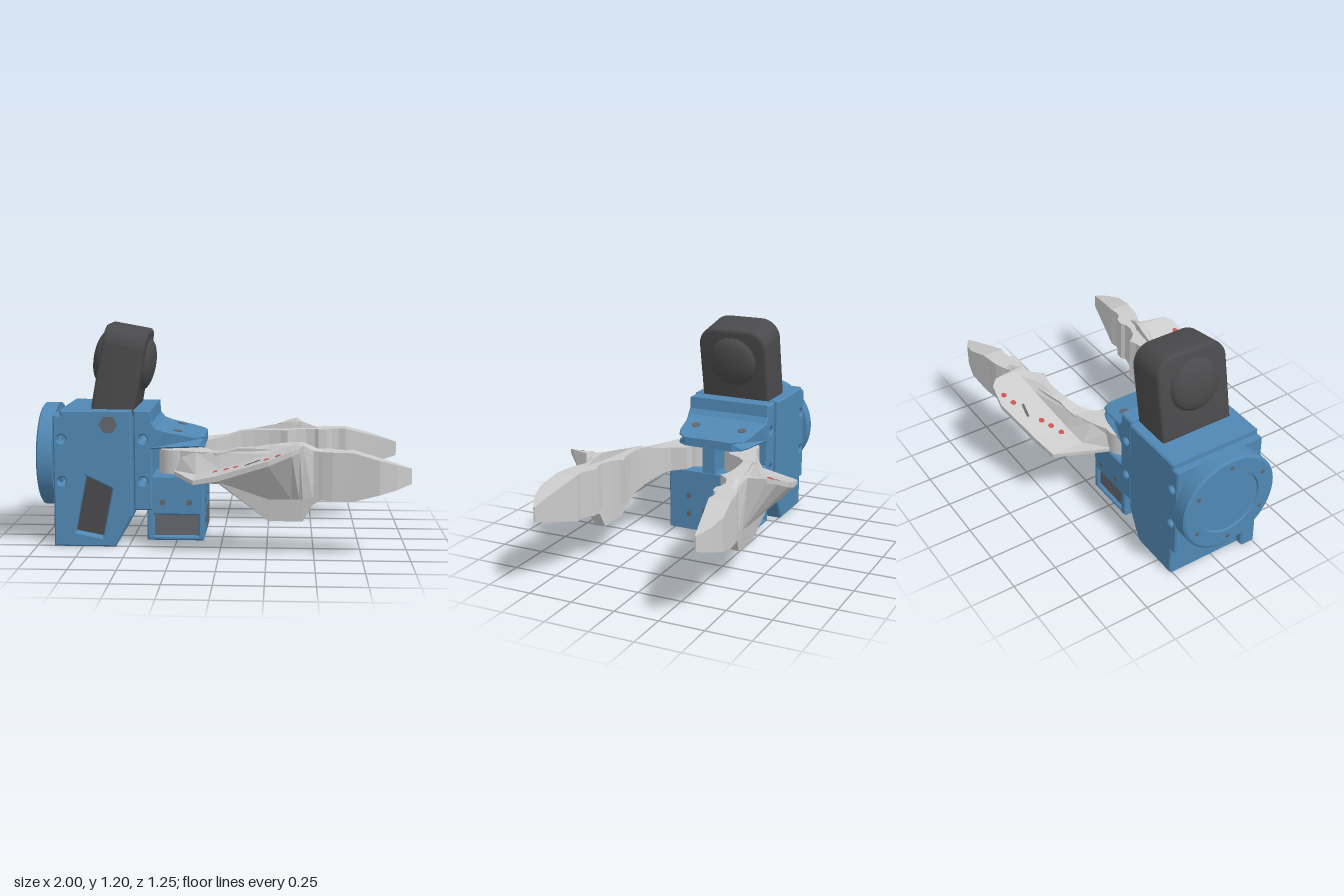
import * as THREE from 'three';
import { toCreasedNormals } from 'three/addons/utils/BufferGeometryUtils.js';

const mat = (color, opts = {}) => new THREE.MeshStandardMaterial({ color, ...opts });
const blue = mat(0x5088b4), dark = mat(0x4a4a4c), panel = mat(0x63666b), red = mat(0xd05050);
const smoothGrey = mat(0xcccccc), grey = mat(0xcccccc, { flatShading: true });

function add(parent, name, geo, material, x = 0, y = 0, z = 0) {
  const m = new THREE.Mesh(geo, material);
  m.name = name;
  m.position.set(x, y, z);
  parent.add(m);
  return m;
}
const box = (w, h, d) => new THREE.BoxGeometry(w, h, d);
const poly = pts => pts.map(p => new THREE.Vector2(...p));
const circle = (x, y, r) => new THREE.Path().absarc(x, y, r, 0, Math.PI * 2, true);

// Side profile extruded across z, centred, with small bevelled edges
function slab(pts, width, holes = [], bevel = 0.008) {
  const s = new THREE.Shape(poly(pts));
  s.holes.push(...holes);
  const g = new THREE.ExtrudeGeometry(s, {
    depth: width - 2 * bevel, bevelEnabled: true, bevelSize: bevel, bevelOffset: -bevel,
    bevelThickness: bevel, bevelSegments: 1, curveSegments: 12,
  });
  g.translate(0, 0, -width / 2 + bevel);
  return g;
}

// Faceted skin over loops of corners; side = -1 mirrors it across z
function loft(loops, side) {
  const out = [];
  const tri = (a, b, c) => {
    for (const p of side > 0 ? [a, b, c] : [a, c, b]) out.push(p[0], p[1], p[2] * side);
  };
  const n = loops[0].length, last = loops[loops.length - 1];
  for (let i = 0; i + 1 < loops.length; i++) {
    for (let j = 0; j < n; j++) {
      const k = (j + 1) % n, A = loops[i], B = loops[i + 1];
      tri(A[j], A[k], B[k]);
      tri(A[j], B[k], B[j]);
    }
  }
  for (let j = 1; j + 1 < n; j++) {
    tri(loops[0][0], loops[0][j + 1], loops[0][j]);
    tri(last[0], last[j], last[j + 1]);
  }
  const g = new THREE.BufferGeometry();
  g.setAttribute('position', new THREE.Float32BufferAttribute(out, 3));
  g.computeVertexNormals();
  return g;
}

// Finger stations: x, inner z, outer z, low y, high y
const fingerStations = [
  [-0.27, 0.10, 0.22, 0.40, 0.53], [-0.09, 0.13, 0.30, 0.40, 0.53], [-0.05, 0.21, 0.31, 0.39, 0.53],
  [-0.02, 0.24, 0.33, 0.385, 0.53], [0.03, 0.27, 0.34, 0.37, 0.54], [0.09, 0.296, 0.35, 0.35, 0.56],
  [0.16, 0.31, 0.37, 0.33, 0.565], [0.25, 0.314, 0.39, 0.31, 0.565], [0.32, 0.305, 0.40, 0.31, 0.565],
  [0.36, 0.287, 0.41, 0.31, 0.565], [0.375, 0.31, 0.41, 0.31, 0.565], [0.41, 0.345, 0.42, 0.31, 0.565],
  [0.47, 0.365, 0.44, 0.31, 0.565], [0.52, 0.36, 0.455, 0.31, 0.565], [0.54, 0.345, 0.465, 0.31, 0.565],
  [0.59, 0.35, 0.483, 0.31, 0.565], [0.62, 0.38, 0.488, 0.31, 0.565], [0.66, 0.388, 0.493, 0.31, 0.565],
  [0.70, 0.38, 0.50, 0.312, 0.565], [0.83, 0.41, 0.52, 0.35, 0.53], [0.92, 0.43, 0.50, 0.375, 0.505],
  [1.0, 0.447, 0.455, 0.40, 0.48],
];
// Cover stations: x, then [y, z] of fin inside, ridge, plate root, rim top, rim bottom, waist, fin outside
const coverStations = [
  [-0.25, [0.40, 0.20], [0.53, 0.20], [0.42, 0.24], [0.42, 0.26], [0.40, 0.26], [0.40, 0.25], [0.40, 0.24]],
  [-0.13, [0.40, 0.26], [0.53, 0.28], [0.42, 0.345], [0.42, 0.53], [0.398, 0.53], [0.395, 0.46], [0.39, 0.40]],
  [0, [0.39, 0.33], [0.535, 0.33], [0.452, 0.365], [0.452, 0.56], [0.422, 0.56], [0.40, 0.46], [0.385, 0.43]],
  [0.26, [0.195, 0.37], [0.587, 0.365], [0.542, 0.41], [0.542, 0.625], [0.515, 0.625], [0.31, 0.45], [0.19, 0.43]],
  [0.38, [0.195, 0.37], [0.603, 0.38], [0.59, 0.43], [0.59, 0.61], [0.565, 0.61], [0.31, 0.45], [0.19, 0.43]],
  [0.42, [0.195, 0.37], [0.605, 0.39], [0.603, 0.435], [0.603, 0.57], [0.578, 0.57], [0.31, 0.45], [0.19, 0.43]],
  [0.44, [0.195, 0.37], [0.605, 0.39], [0.603, 0.43], [0.60, 0.475], [0.58, 0.475], [0.31, 0.45], [0.19, 0.43]],
  [0.49, [0.28, 0.37], [0.585, 0.41], [0.585, 0.42], [0.57, 0.445], [0.55, 0.448], [0.32, 0.448], [0.28, 0.44]],
  [0.54, [0.31, 0.37], [0.566, 0.41], [0.566, 0.42], [0.56, 0.45], [0.54, 0.45], [0.34, 0.45], [0.31, 0.44]],
];

function gripper(side) {
  const g = new THREE.Group();
  g.name = side > 0 ? 'frontGripper' : 'backGripper';
  const fingerLoops = fingerStations.map(([x, zi, zo, yl, yh]) => [[x, yl, zi], [x, yh, zi], [x, yh, zo], [x, yl, zo]]);
  const coverLoops = coverStations.map(([x, ...pts]) => pts.map(([y, z]) => [x, y, z]));
  add(g, 'finger', loft(fingerLoops, side), grey);
  add(g, 'fingerCover', loft(coverLoops, side), grey);
  add(g, 'pivotHub', new THREE.CylinderGeometry(0.1, 0.1, 0.13, 32), smoothGrey, -0.24, 0.465, side * 0.145);
  // Red studs and a slot along the sloping plate
  for (const [x, z] of [[-0.02, 0.41], [0.04, 0.44], [0.09, 0.47], [0.25, 0.555], [0.31, 0.58]]) {
    const y = x < 0 ? 0.447 : x < 0.26 ? 0.452 + 0.346 * x : 0.562;
    const stud = add(g, 'stud', new THREE.SphereGeometry(0.016, 12, 8), red, x, y, side * z);
    stud.scale.y = 0.3;
    stud.rotation.z = 0.33;
  }
  add(g, 'coverSlot', box(0.085, 0.006, 0.014), panel, 0.18, 0.514, side * 0.52).rotation.set(0, side * 0.15, 0.33);
  return g;
}

function cameraHead() {
  const g = new THREE.Group();
  g.name = 'cameraHead';
  const w = 0.21, h = 0.47, r = 0.11, t = 0.235, b = 0.02;
  const s = new THREE.Shape();
  s.moveTo(-w, 0).lineTo(w, 0).lineTo(w, h - r);
  s.absarc(w - r, h - r, r, 0, Math.PI / 2).lineTo(r - w, h);
  s.absarc(r - w, h - r, r, Math.PI / 2, Math.PI).lineTo(-w, 0);
  const geo = new THREE.ExtrudeGeometry(s, {
    depth: t - 2 * b, bevelThickness: b, bevelSize: b, bevelOffset: -b, bevelSegments: 3, curveSegments: 12,
  });
  geo.translate(0, 0, -t / 2 + b).rotateY(Math.PI / 2);
  add(g, 'cameraBody', toCreasedNormals(geo, 0.6), dark);
  for (const side of [-1, 1]) {
    add(g, 'lensDome', new THREE.SphereGeometry(0.143, 40, 24), dark, side * t / 2, 0.275).scale.x = 0.38;
    add(g, 'lensRing', new THREE.TorusGeometry(0.143, 0.004, 8, 48), dark, side * t / 2, 0.275).rotation.y = Math.PI / 2;
  }
  g.position.set(-0.592, 0.722, 0);
  g.rotation.z = -0.18;
  return g;
}

export function createModel() {
  const root = new THREE.Group();
  root.name = 'robotGripper';

  // Rear mounting flange with shallow recessed face and screws
  const flange = new THREE.LatheGeometry(poly([
    [0, 0.012], [0.18, 0.012], [0.185, 0.003], [0.272, 0.003], [0.285, 0.012], [0.285, 0.09], [0.24, 0.09], [0.24, 0.13], [0, 0.13],
  ]).reverse(), 64);
  flange.rotateZ(-Math.PI / 2);
  add(root, 'rearFlange', toCreasedNormals(flange, 0.5), mat(0x5088b4, { side: THREE.DoubleSide }), -1, 0.472);
  for (let i = 0; i < 6; i++) {
    const a = (i + 0.5) * Math.PI / 3;
    add(root, 'flangeScrew', new THREE.CylinderGeometry(0.012, 0.012, 0.01, 16), panel,
      -0.995, 0.472 + 0.23 * Math.sin(a), 0.23 * Math.cos(a)).rotation.z = Math.PI / 2;
  }

  // Rear housing: stepped body, and a front plate with slanted window and nut
  const shared = [[-0.57, 0], [-0.48, 0.17], [-0.48, 0.747], [-0.865, 0.747], [-0.865, 0.72], [-0.905, 0.72]];
  const bolts = [circle(-0.86, 0.59, 0.022), circle(-0.86, 0.36, 0.022)];
  const slant = new THREE.Path(poly([[-0.73, 0.39], [-0.79, 0.08], [-0.64, 0.05], [-0.585, 0.32]]));
  add(root, 'rearHousing', slab([[-0.865, 0], ...shared, [-0.905, 0.17], [-0.865, 0.17]], 0.465, bolts), blue, 0, 0, -0.0325);
  add(root, 'frontPlate', slab([[-0.905, 0], ...shared], 0.09, [slant, ...bolts]), blue, 0, 0, 0.22);
  add(root, 'rearMotor', box(0.24, 0.37, 0.1), dark, -0.69, 0.22, 0.16);
  add(root, 'bottomBoss', new THREE.CylinderGeometry(0.045, 0.045, 0.01, 24), panel, -0.80, 0.006, 0);
  const nut = new THREE.CylinderGeometry(0.05, 0.05, 0.02, 6);
  add(root, 'hexNut', nut, panel, -0.605, 0.67, 0.257).rotation.set(Math.PI / 2, Math.PI / 6, 0);

  // Front bracket with overhanging shelf that narrows to a rounded front
  const shelf = slab([
    [-0.47, 0.2], [-0.37, 0.2], [-0.37, 0.535], [-0.30, 0.538], [-0.18, 0.54], [-0.12, 0.54], [-0.092, 0.54],
    [-0.092, 0.59], [-0.12, 0.597], [-0.18, 0.61], [-0.30, 0.635], [-0.345, 0.65], [-0.37, 0.68], [-0.375, 0.747], [-0.47, 0.747],
  ], 0.5, [circle(-0.42, 0.59, 0.022), circle(-0.42, 0.36, 0.022)]);
  const p = shelf.attributes.position;
  for (let i = 0; i < p.count; i++) {
    const x = p.getX(i);
    if (x > -0.32) p.setZ(i, p.getZ(i) * (x > -0.11 ? 0.6 : x > -0.14 ? 0.78 : x > -0.2 ? 0.87 : 0.94));
  }
  shelf.computeVertexNormals();
  add(root, 'frontBracket', shelf, blue);
  add(root, 'bracketJoint', box(0.04, 0.48, 0.46), blue, -0.475, 0.45, 0);
  add(root, 'shelfPad', box(0.18, 0.04, 0.19), blue, -0.185, 0.588, 0).rotation.z = -0.19;
  add(root, 'centrePost', box(0.3, 0.18, 0.075), blue, -0.25, 0.46, 0);

  // Lower motor case with side, end and bottom windows
  const caseWindow = new THREE.Path(poly([[-0.36, 0.06], [-0.36, 0.175], [-0.12, 0.175], [-0.12, 0.06]]));
  add(root, 'lowerCase', slab([[-0.40, 0.035], [-0.092, 0.035], [-0.092, 0.39], [-0.40, 0.39]], 0.49, [caseWindow]), blue);
  add(root, 'lowerMotor', box(0.26, 0.135, 0.45), panel, -0.24, 0.118, 0);
  add(root, 'endWindow', box(0.01, 0.125, 0.245), panel, -0.095, 0.112, -0.087);
  add(root, 'bottomWindow', box(0.24, 0.01, 0.4), dark, -0.24, 0.038, 0);

  // Screw heads on the case and shelf
  const screw = new THREE.CylinderGeometry(0.016, 0.016, 0.012, 20);
  for (const side of [-1, 1]) {
    for (const x of [-0.315, -0.17]) add(root, 'caseScrew', screw, panel, x, 0.245, side * 0.243).rotation.x = Math.PI / 2;
    const head = new THREE.CylinderGeometry(0.025, 0.025, 0.02, 24);
    add(root, 'shelfScrew', head, panel, -0.24, 0.616, side * 0.145).rotation.z = -0.19;
  }
  for (const [y, z] of [[0.24, 0.12], [0.24, -0.1], [0.13, 0.12]]) {
    add(root, 'endScrew', screw, panel, -0.095, y, z).rotation.z = Math.PI / 2;
  }

  root.add(cameraHead(), gripper(1), gripper(-1));
  return root;
}
